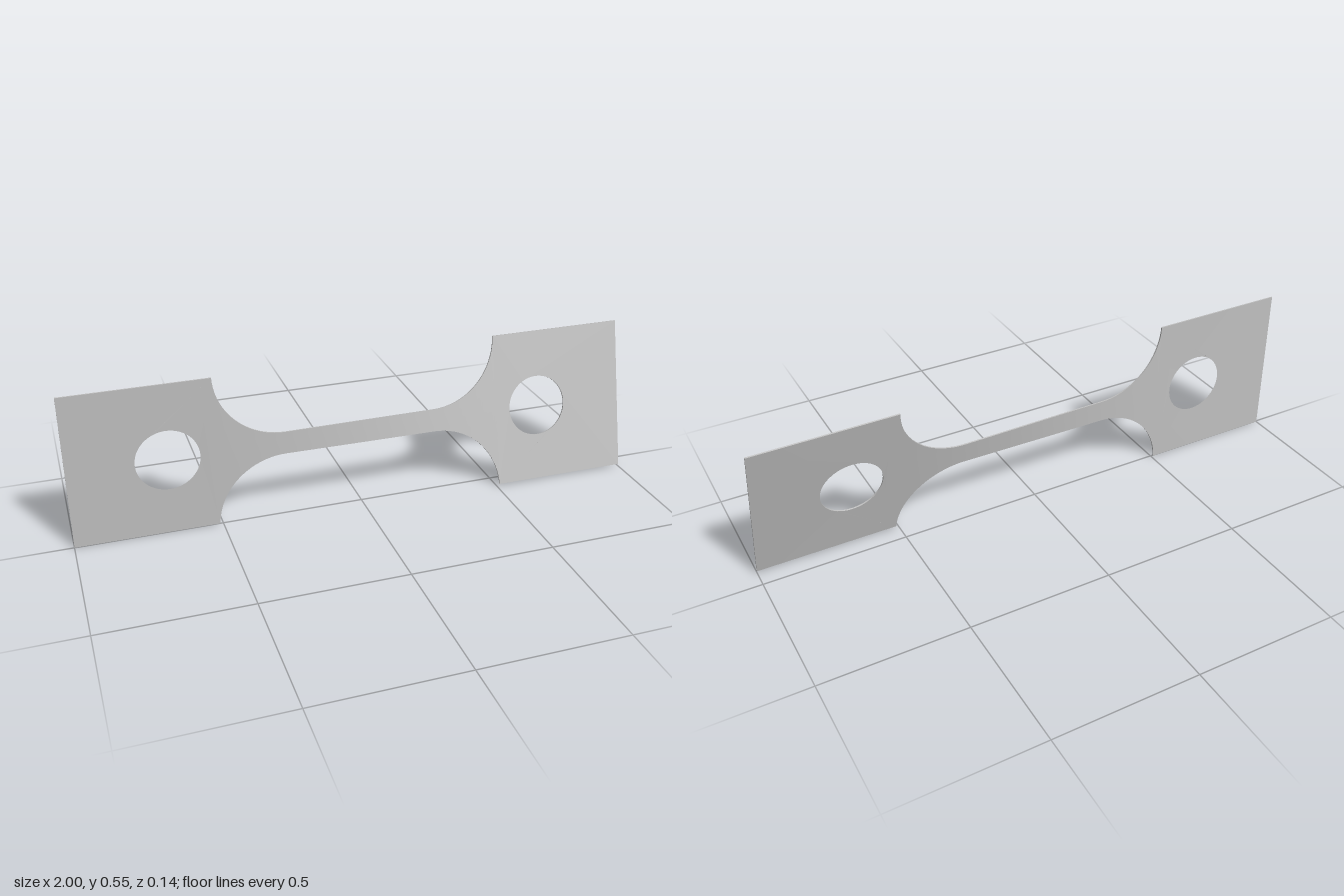
import * as THREE from 'three';
import { toCreasedNormals } from 'three/addons/utils/BufferGeometryUtils.js';

const HALF = 0.2725;       // half height of the end plates
const THICK = 0.005;
const GAUGE_X = 0.27, GAUGE_H = 0.04, FILLET = 0.24;
const PHI_MAX = Math.acos((GAUGE_H + FILLET - HALF) / FILLET);
const NECK_X = GAUGE_X + FILLET * Math.sin(PHI_MAX);

// Twist the bar about its long axis, mostly along the neck
function twist(geometry) {
  const p = geometry.attributes.position;
  for (let i = 0; i < p.count; i++) {
    const x = p.getX(i), y = p.getY(i), z = p.getZ(i);
    const a = THREE.MathUtils.degToRad(0.5 - 14.4 * THREE.MathUtils.smoothstep(x, -0.6, 0.6));
    p.setXYZ(i, x, y * Math.cos(a) - z * Math.sin(a), y * Math.sin(a) + z * Math.cos(a));
  }
  geometry.computeVertexNormals();
  return toCreasedNormals(geometry, 0.6);
}

// Square end plate with a round hole
function endPlate(side) {
  const shape = new THREE.Shape([
    [NECK_X, -HALF], [1, -HALF], [1, HALF], [NECK_X, HALF],
  ].map(([x, y]) => new THREE.Vector2(side * x, y)));
  const hole = new THREE.Path();
  hole.absarc(side * 0.67, 0, 0.108, 0, Math.PI * 2, true);
  shape.holes.push(hole);
  const g = new THREE.ExtrudeGeometry(shape, { depth: THICK, bevelEnabled: false, curveSegments: 48 });
  g.translate(0, 0, -THICK / 2);
  return twist(g);
}

// Narrow strip that flares into the plates through circular fillets
function neck() {
  const g = new THREE.BoxGeometry(2, 2, THICK, 80, 4, 1);
  const p = g.attributes.position;
  for (let i = 0; i < p.count; i++) {
    const u = p.getX(i), s = Math.sign(u), t = Math.abs(u) * 2;
    const phi = Math.max(0, t - 1) * PHI_MAX;
    const x = Math.min(t, 1) * GAUGE_X + FILLET * Math.sin(phi);
    const h = GAUGE_H + FILLET * (1 - Math.cos(phi));
    p.setXY(i, s * x, p.getY(i) * h);
  }
  return twist(g);
}

export function createModel() {
  const group = new THREE.Group();
  group.name = 'twistedTestBar';
  const metal = new THREE.MeshStandardMaterial({ color: 0xc0c0c0 });
  metal.name = 'grey metal';
  const add = (name, geometry) => {
    const mesh = new THREE.Mesh(geometry, metal);
    mesh.name = name;
    mesh.position.y = HALF;
    group.add(mesh);
  };
  add('leftEndPlate', endPlate(1));
  add('rightEndPlate', endPlate(-1));
  add('neck', neck());
  return group;
}
